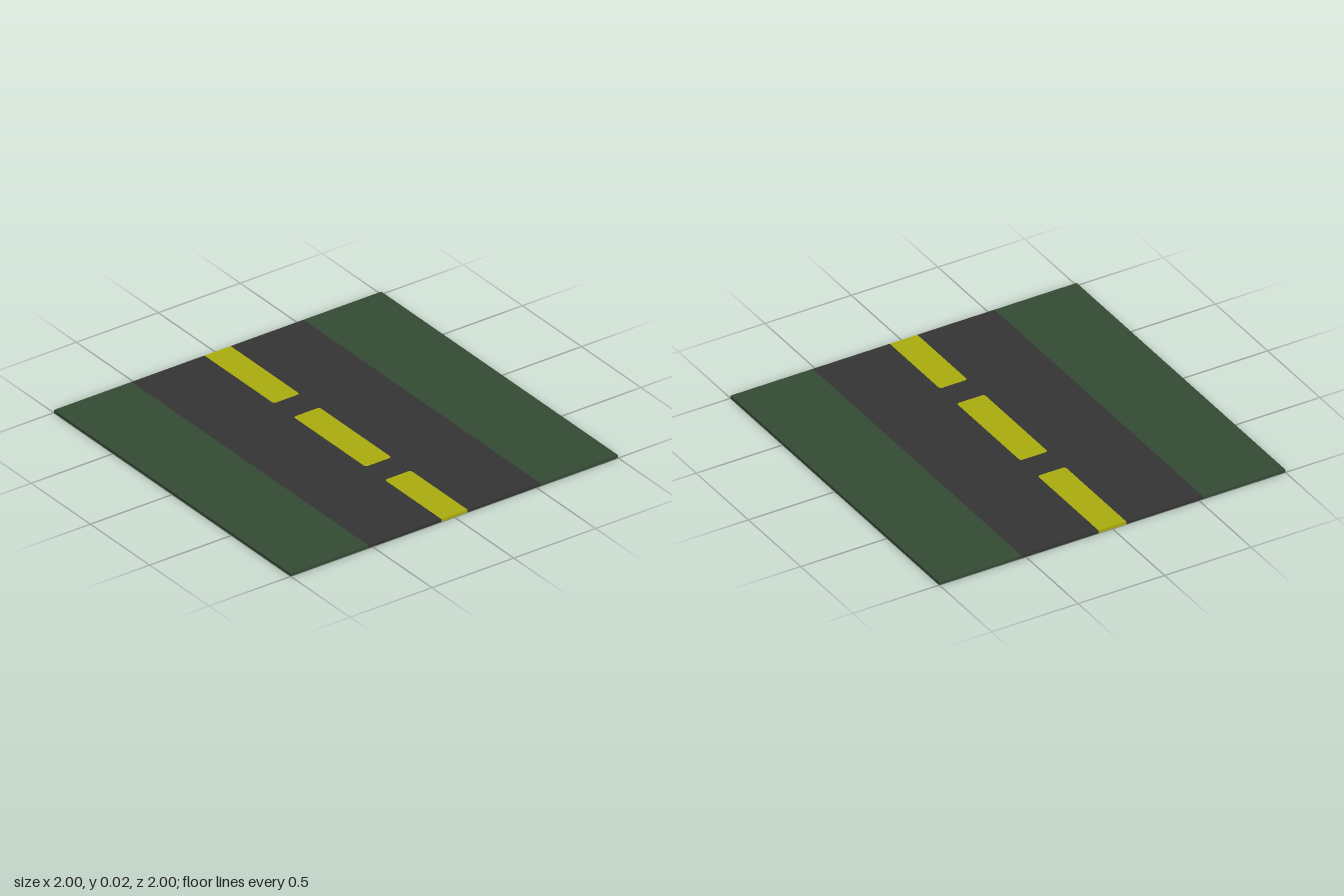
import * as THREE from 'three';

const THICK = 0.016;       // slab height
const ROAD = 0.525;        // half width of the asphalt
const DASH = 0.08;         // half width of a centre line dash
const RADIUS = 0.015;      // dash corner radius

const material = (name, color) => {
  const m = new THREE.MeshStandardMaterial({ color });
  m.name = name;
  return m;
};

// Rounded end of a dash that stops at z, running from its -x edge to its +x edge
function endCap(z) {
  const points = [];
  for (const side of [-1, 1]) {
    for (let i = 0; i <= 4; i++) {
      const a = (side < 0 ? i : 4 - i) * Math.PI / 8;
      points.push(new THREE.Vector2(
        side * (DASH - RADIUS + RADIUS * Math.cos(a)),
        z - RADIUS + RADIUS * Math.sin(a)));
    }
  }
  return points;
}

// Half turn about the centre
const turned = (points) => points.map((p) => p.clone().negate());

const corner = (x, z) => new THREE.Vector2(x, z);

// Flat slab from a plan outline, where the shape's y is the world's z
function slab(name, outline, mat, holes = []) {
  const shape = new THREE.Shape(outline);
  for (const h of holes) shape.holes.push(new THREE.Path(h));
  const geometry = new THREE.ExtrudeGeometry(shape, { depth: THICK, bevelEnabled: false });
  geometry.rotateX(Math.PI / 2).translate(0, THICK, 0);
  const mesh = new THREE.Mesh(geometry, mat);
  mesh.name = name;
  return mesh;
}

export function createModel() {
  const group = new THREE.Group();
  group.name = 'roadTile';
  const grass = material('grass green', 0x344a34);
  const asphalt = material('asphalt grey', 0x343434);
  const paint = material('line yellow', 0xa8aa0e);

  // Dashes: two cut off by the tile edges and a whole one between
  const backDash = [corner(-DASH, -1), ...endCap(-0.415), corner(DASH, -1)];
  const frontDash = turned([corner(-DASH, -1), ...endCap(-0.52), corner(DASH, -1)]);
  const middleDash = [...endCap(0.36), ...turned(endCap(0.25))];
  group.add(
    slab('backDash', backDash, paint),
    slab('middleDash', middleDash, paint),
    slab('frontDash', frontDash, paint));

  // Asphalt with openings that the dashes fill
  const outline = [
    corner(-ROAD, -1), ...backDash, corner(ROAD, -1),
    corner(ROAD, 1), ...frontDash, corner(-ROAD, 1)];
  group.add(slab('road', outline, asphalt, [middleDash]));

  // Grass verges on both sides
  for (const side of [-1, 1]) {
    const verge = new THREE.Mesh(new THREE.BoxGeometry(1 - ROAD, THICK, 2), grass);
    verge.position.set(side * (1 + ROAD) / 2, THICK / 2, 0);
    verge.name = side > 0 ? 'leftVerge' : 'rightVerge';
    group.add(verge);
  }
  return group;
}
